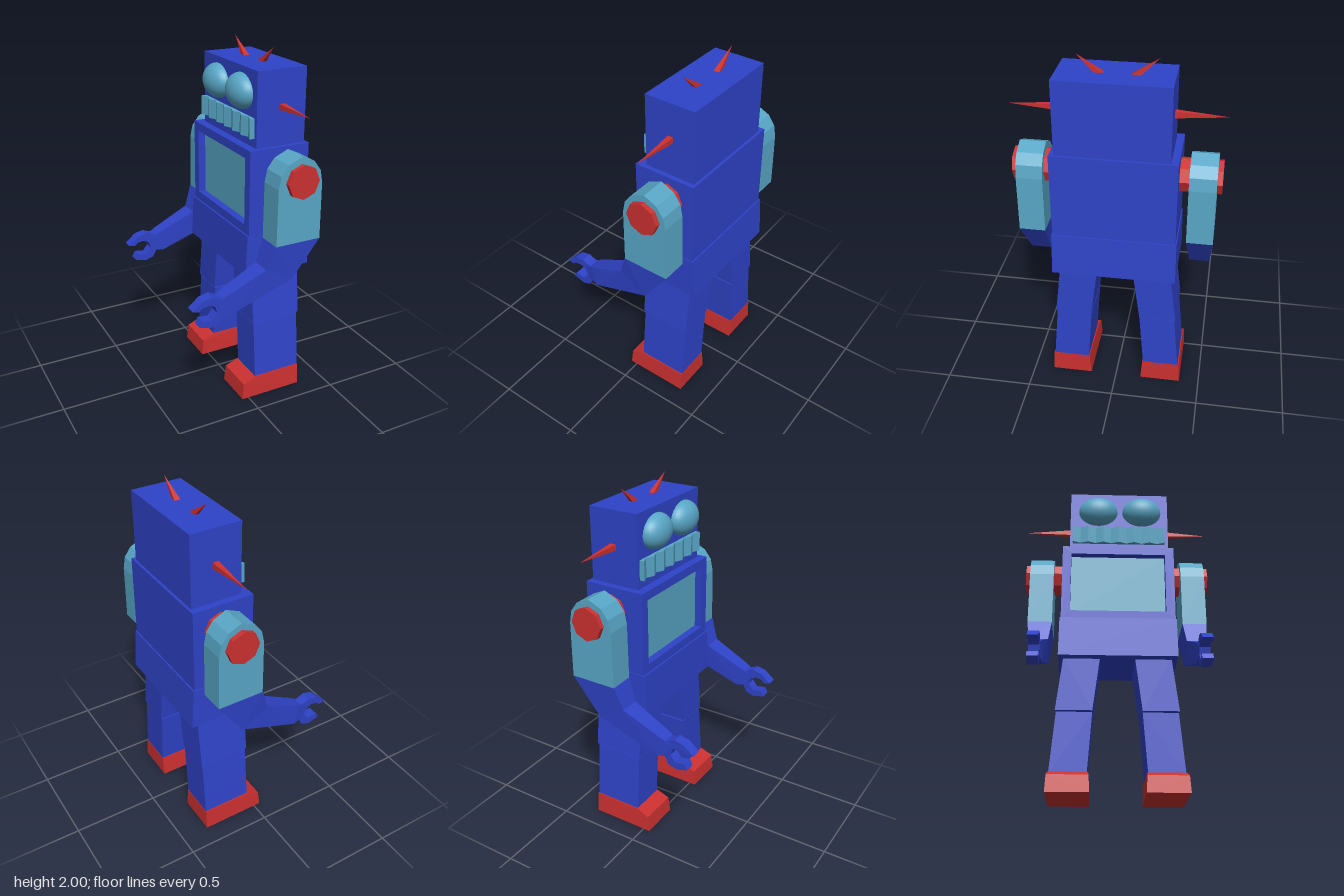
import * as THREE from 'three';
import { ConvexGeometry } from 'three/addons/geometries/ConvexGeometry.js';

const mat = (name, color) => {
  const m = new THREE.MeshStandardMaterial({ color });
  m.name = name;
  return m;
};
const V = (x, y, z) => new THREE.Vector3(x, y, z);

export function createModel() {
  const robot = new THREE.Group();
  robot.name = 'toyRobot';
  const blue = mat('blue', 0x2f43c8);
  const teal = mat('teal', 0x58a6c6);
  const red = mat('red', 0xcc3030);

  const add = (name, geometry, material) => {
    const mesh = new THREE.Mesh(geometry, material);
    mesh.name = name;
    robot.add(mesh);
    return mesh;
  };
  const box = (name, m, x0, x1, y0, y1, z0, z1) =>
    add(name, new THREE.BoxGeometry(x1 - x0, y1 - y0, z1 - z0)
      .translate((x0 + x1) / 2, (y0 + y1) / 2, (z0 + z1) / 2), m);
  // Convex block between two rectangles [x0, x1, z0, z1] at heights y0 and y1
  const taper = (name, m, y0, a, y1, b) => {
    const pts = [];
    for (const [y, r] of [[y0, a], [y1, b]])
      for (const x of [r[0], r[1]]) for (const z of [r[2], r[3]]) pts.push(V(x, y, z));
    return add(name, new ConvexGeometry(pts), m);
  };
  const shapeOf = pts => new THREE.Shape(pts.map(p => new THREE.Vector2(...p)));
  // Side profile in x and y, extruded from z0 to z1
  const slab = (name, m, pts, z0, z1) =>
    add(name, new THREE.ExtrudeGeometry(shapeOf(pts), { depth: z1 - z0, bevelEnabled: false })
      .translate(0, 0, z0), m);
  // Four-sided spike from a base point to its tip
  const spike = (name, base, tip) => {
    const dir = tip.clone().sub(base);
    const len = dir.length();
    const g = new THREE.ConeGeometry(0.025, len, 4).rotateY(Math.PI / 4)
      .translate(0, len / 2, 0).toNonIndexed();
    g.computeVertexNormals();
    g.applyQuaternion(new THREE.Quaternion().setFromUnitVectors(V(0, 1, 0), dir.normalize()));
    g.translate(base.x, base.y, base.z);
    return add(name, g, red);
  };

  // Head
  box('head', blue, 0.06, 0.355, 1.5, 1.91, -0.292, 0.313);
  for (const z of [-0.12, 0.15])
    add('eye', new THREE.SphereGeometry(1, 28, 18).scale(0.08, 0.097, 0.12)
      .translate(0.06, 1.777, z), teal);

  // Mouth grille with a zigzag front
  const mouth = [[0.06, -0.29]];
  const teeth = 6;
  for (let i = 0; i <= teeth * 2; i++)
    mouth.push([i % 2 ? 0.05 : 0.03, -0.29 + (0.565 * i) / (teeth * 2)]);
  mouth.push([0.06, 0.275]);
  add('mouth', new THREE.ExtrudeGeometry(shapeOf(mouth), { depth: 0.11, bevelEnabled: false })
    .rotateX(-Math.PI / 2).translate(0, 1.55, 0), teal);

  // Torso with a framed, sunken screen on the chest
  box('torso', blue, 0.06, 0.37, 1.02, 1.5, -0.332, 0.339);
  const frame = shapeOf([[-0.332, 1.02], [0.339, 1.02], [0.339, 1.5], [-0.332, 1.5]]);
  frame.holes.push(new THREE.Path(
    [[-0.28, 1.07], [-0.28, 1.45], [0.285, 1.45], [0.285, 1.07]].map(p => new THREE.Vector2(...p))));
  add('chestFrame', new THREE.ExtrudeGeometry(frame, { depth: 0.05, bevelEnabled: false })
    .rotateY(-Math.PI / 2).translate(0.06, 0, 0), blue);
  box('chestScreen', teal, 0.054, 0.061, 1.07, 1.45, -0.28, 0.285);
  taper('hips', blue, 0.78, [-0.012, 0.393, -0.34, 0.345], 1.02, [0.0, 0.378, -0.338, 0.343]);

  for (const s of [1, -1]) {
    // Antennae and ear spikes
    spike('antenna', V(0.212, 1.89, s * 0.075), V(0.212, 2.0, s * 0.21));
    spike('earSpike', V(0.212, 1.71, s * 0.285), V(0.212, 1.71, s * 0.57));

    // Leg and foot
    taper('thigh', blue, 0.472, [0.043, 0.343, s * 0.14, s * 0.348], 0.79, [0.043, 0.345, s * 0.1, s * 0.31]);
    taper('shin', blue, 0.12, [0.048, 0.335, s * 0.165, s * 0.372], 0.464, [0.048, 0.337, s * 0.14, s * 0.342]);
    const foot = [];
    for (const [x, y, inner, outer] of [[-0.04, 0, 0.15, 0.385], [0.337, 0, 0.15, 0.385],
      [-0.03, 0.095, 0.155, 0.38], [0.045, 0.127, 0.16, 0.377], [0.337, 0.127, 0.16, 0.377]])
      foot.push(V(x, y, s * inner), V(x, y, s * outer));
    add('foot', new ConvexGeometry(foot), red);

    // Shoulder bolt and upper arm
    add('shoulderBolt', (() => {
      const g = new THREE.CylinderGeometry(0.094, 0.094, 0.235, 8).rotateX(Math.PI / 2).toNonIndexed();
      g.computeVertexNormals();
      return g.translate(0.21, 1.367, s * 0.4375);
    })(), red);
    const mid = s * 0.456;
    slab('upperArm', teal, [[0.07, 1.02], [0.34, 1.02], [0.338, 1.34], [0.325, 1.41], [0.285, 1.465],
      [0.21, 1.5], [0.13, 1.465], [0.088, 1.41], [0.073, 1.34]], mid - 0.0715, mid + 0.0715);

    // Bent forearm: each section gives front point, back point and half width
    const sections = [
      [0.067, 1.02, 0.34, 1.02, 0.0715], [0.022, 0.89, 0.185, 0.8, 0.056],
      [-0.205, 0.785, -0.18, 0.665, 0.042], [-0.26, 0.755, -0.24, 0.675, 0.031],
    ];
    ['elbow', 'forearm', 'wrist'].forEach((name, i) => {
      const pts = [];
      for (const [fx, fy, bx, by, w] of [sections[i], sections[i + 1]])
        for (const d of [-w, w]) pts.push(V(fx, fy, mid + d), V(bx, by, mid + d));
      add(name, new ConvexGeometry(pts), blue);
    });

    // Open claw hand
    slab('claw', blue, [[-0.22, 0.77], [-0.245, 0.775], [-0.285, 0.792], [-0.34, 0.78], [-0.4, 0.73],
      [-0.36, 0.722], [-0.345, 0.74], [-0.305, 0.746], [-0.27, 0.73], [-0.258, 0.69], [-0.288, 0.652],
      [-0.345, 0.66], [-0.362, 0.628], [-0.295, 0.61], [-0.245, 0.625], [-0.22, 0.672]],
      mid - 0.03, mid + 0.03);
  }
  return robot;
}
